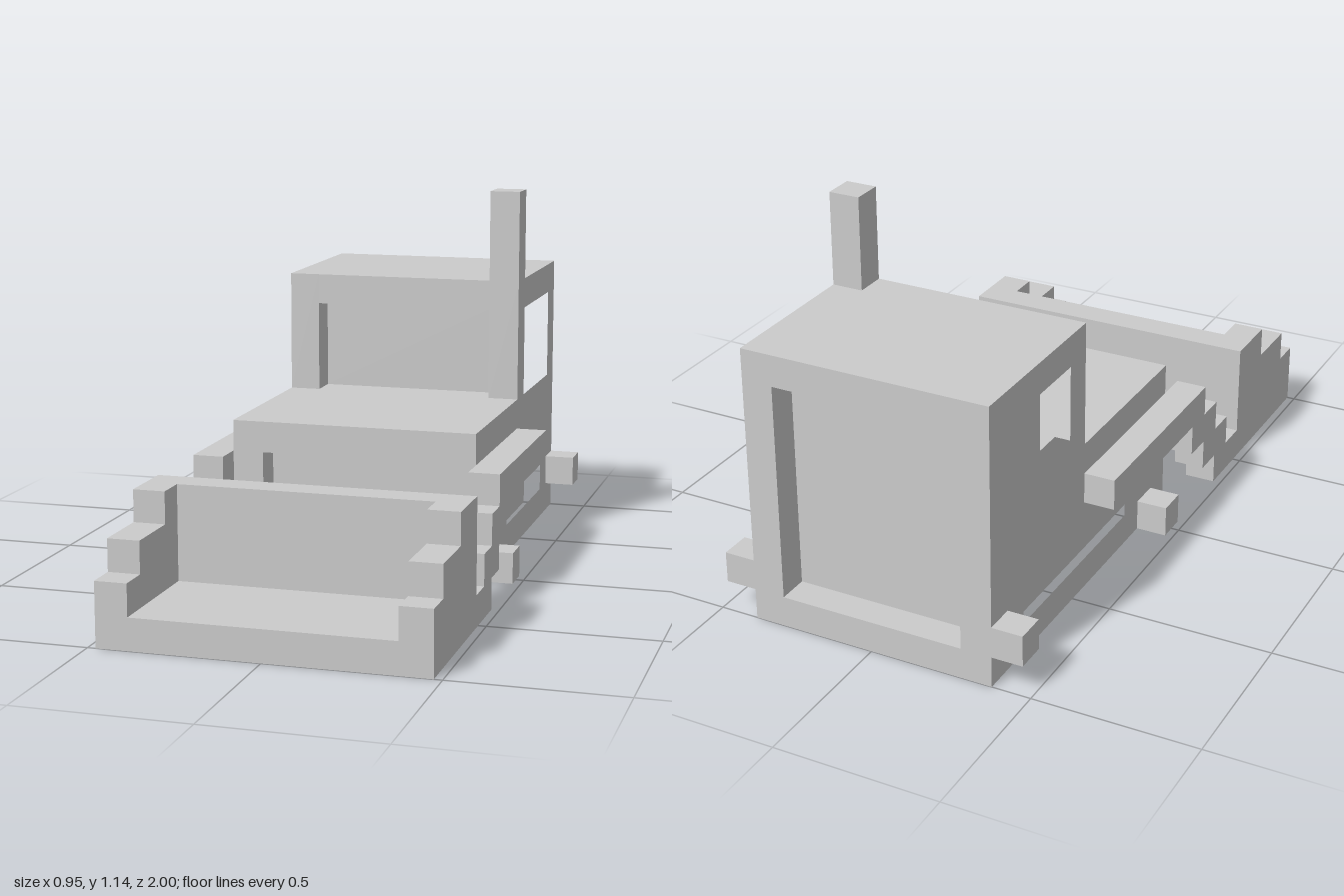
import * as THREE from 'three';

const U = 2 / 21; // one block of the grid
const material = new THREE.MeshStandardMaterial({ color: 0xcccccc, flatShading: true });

// Path through [z, y] corners; the shape's x axis runs along -z
const trace = (path, points) => {
  points.forEach(([z, y], i) => (i ? path.lineTo(-z, y) : path.moveTo(-z, y)));
  path.closePath();
  return path;
};

const rect = (z0, z1, y0, y1) => [[z0, y0], [z1, y0], [z1, y1], [z0, y1]];

// Side profile in [z, y] blocks, extruded from x0 to x1
function slab(name, points, x0, x1, holes = []) {
  const shape = trace(new THREE.Shape(), points);
  shape.holes = holes.map((h) => trace(new THREE.Path(), h));
  const geo = new THREE.ExtrudeGeometry(shape, { depth: x1 - x0, bevelEnabled: false });
  geo.rotateY(Math.PI / 2).translate(x0, 0, 0).scale(U, U, U);
  const mesh = new THREE.Mesh(geo, material);
  mesh.name = name;
  return mesh;
}

export function createModel() {
  const model = new THREE.Group();
  model.name = 'loader';

  // Middle of the body, with grille, windscreen and rear panel recessed
  model.add(slab('bodyCore', [
    [-10.5, 0], [1.5, 0], [1.5, 1], [0.5, 1], [0.5, 4], [1.5, 4], [1.5, 5],
    [-5.5, 5], [-5.5, 8], [-4.5, 8], [-4.5, 9], [-10.5, 9],
    [-10.5, 8], [-9.5, 8], [-9.5, 1], [-10.5, 1],
  ], -3, 3));

  // Exhaust stack on the left front corner of the cab
  model.add(slab('exhaust', rect(-5.5, -4.5, 9, 12), 3, 4));

  // Bucket floor and back wall
  model.add(slab('bucketFloorAndBack', [
    [5.5, 0], [10.5, 0], [10.5, 1], [6.5, 1], [6.5, 4], [5.5, 4],
  ], -4, 4));

  // Parts repeated on both sides
  const bodySide = [[-10.5, 0], [1.5, 0], [1.5, 5], [-4.5, 5], [-4.5, 9], [-10.5, 9]];
  const sideWindow = rect(-9.5, -5.5, 5, 8);
  const trackSlot = rect(-8.5, -1.5, 1, 2);
  const arm = [
    [-4.5, 3], [1.5, 3], [1.5, 2], [2.5, 2], [2.5, 1], [3.5, 1], [3.5, 0], [5.5, 0],
    [5.5, 1], [4.5, 1], [4.5, 2], [3.5, 2], [3.5, 3], [2.5, 3], [2.5, 4], [-4.5, 4],
  ];
  const bucketSide = [
    [5.5, 0], [10.5, 0], [10.5, 2], [9.5, 2], [9.5, 3], [7.5, 3], [7.5, 4], [5.5, 4],
  ];
  for (const [side, s] of [['left', 1], ['right', -1]]) {
    const add = (part, points, a, b, holes) =>
      model.add(slab(side + part, points, Math.min(s * a, s * b), Math.max(s * a, s * b), holes));
    add('BodySide', bodySide, 3, 4, [sideWindow, trackSlot]);
    add('Arm', arm, 4, 5);
    add('BucketSide', bucketSide, 4, 5);
    add('FrontHub', rect(-0.5, 0.5, 0, 1), 4, 5);
    add('RearHub', rect(-10.5, -9.5, 1, 2), 4, 5);
  }
  return model;
}
